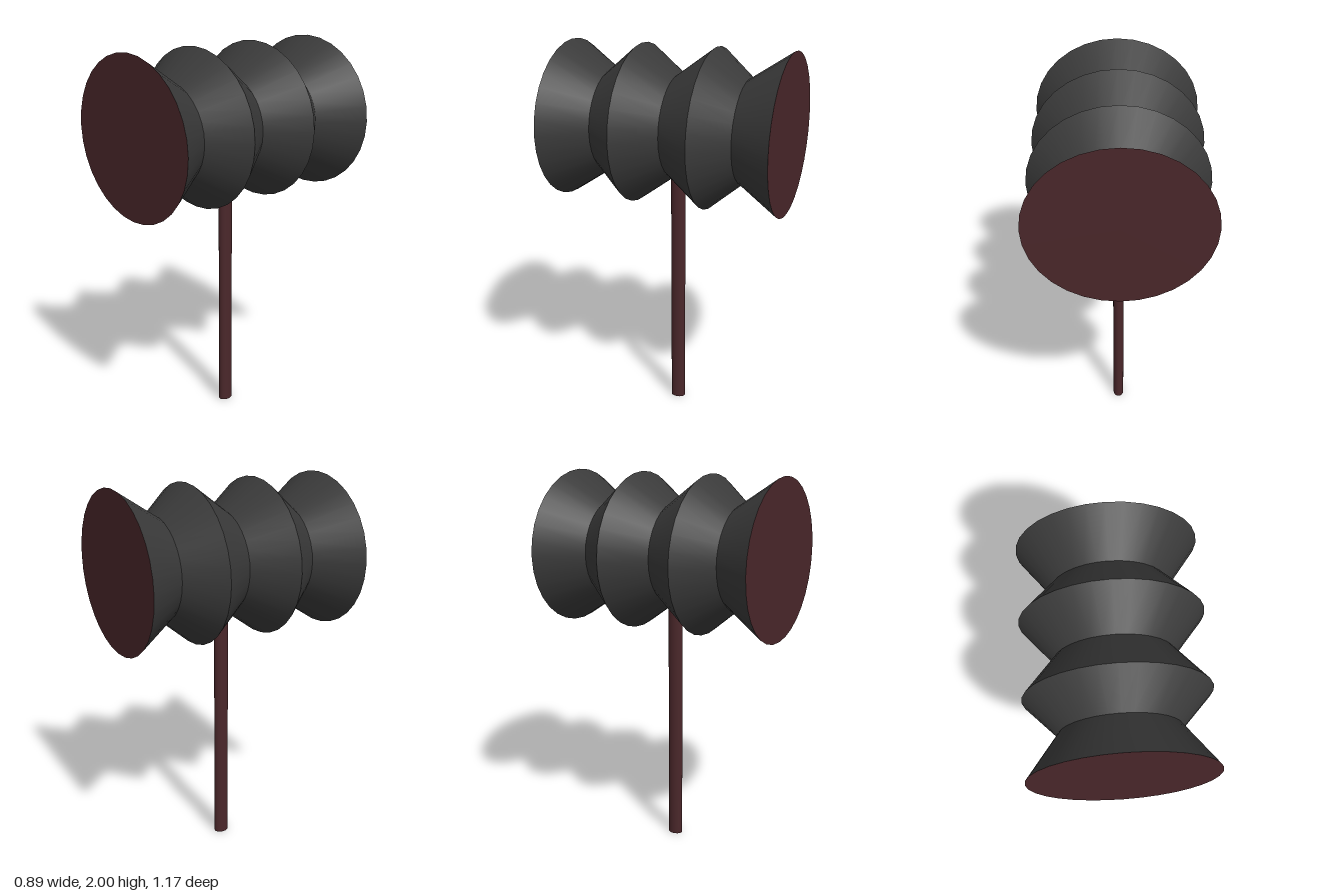
import * as THREE from 'three';

export function createModel() {
  const model = new THREE.Group();
  const charcoal = new THREE.MeshStandardMaterial({ color: 0x3a3a3a });
  charcoal.name = 'charcoal';
  const darkWood = new THREE.MeshStandardMaterial({ color: 0x4a272a });
  darkWood.name = 'dark reddish wood';

  const SIDES = 32;
  const RX = 0.443, RY = 0.405;

  // Head: unit-radius rings along z, stretched to an oval section
  const head = new THREE.Group();
  head.name = 'head';
  head.position.y = 1.595;
  head.scale.set(RX, RY, 1);
  model.add(head);

  // Pleated body: one band per slope, so ridges and valleys stay sharp
  const profile = [
    [-0.583, 1], [-0.366, 0.645], [-0.195, 1], [0, 0.645],
    [0.195, 1], [0.366, 0.645], [0.583, 1],
  ];
  for (let i = 0; i < profile.length - 1; i++) {
    const [z0, r0] = profile[i];
    const [z1, r1] = profile[i + 1];
    const geometry = new THREE.CylinderGeometry(r1, r0, z1 - z0, SIDES, 1, true);
    geometry.rotateX(Math.PI / 2);
    const band = new THREE.Mesh(geometry, charcoal);
    band.name = 'headBand' + (i + 1);
    band.position.z = (z0 + z1) / 2;
    head.add(band);
  }

  // Striking faces at both ends
  for (const side of [1, -1]) {
    const geometry = new THREE.CircleGeometry(1, SIDES);
    if (side < 0) geometry.rotateY(Math.PI);
    const face = new THREE.Mesh(geometry, darkWood);
    face.name = side > 0 ? 'frontFace' : 'backFace';
    face.position.z = side * 0.583;
    head.add(face);
  }

  // Oval handle running up into the head
  const handle = new THREE.Mesh(new THREE.CylinderGeometry(1, 1, 1.5, SIDES), darkWood);
  handle.name = 'handle';
  handle.scale.set(0.029, 1, 0.039);
  handle.position.y = 0.75;
  model.add(handle);

  return model;
}
